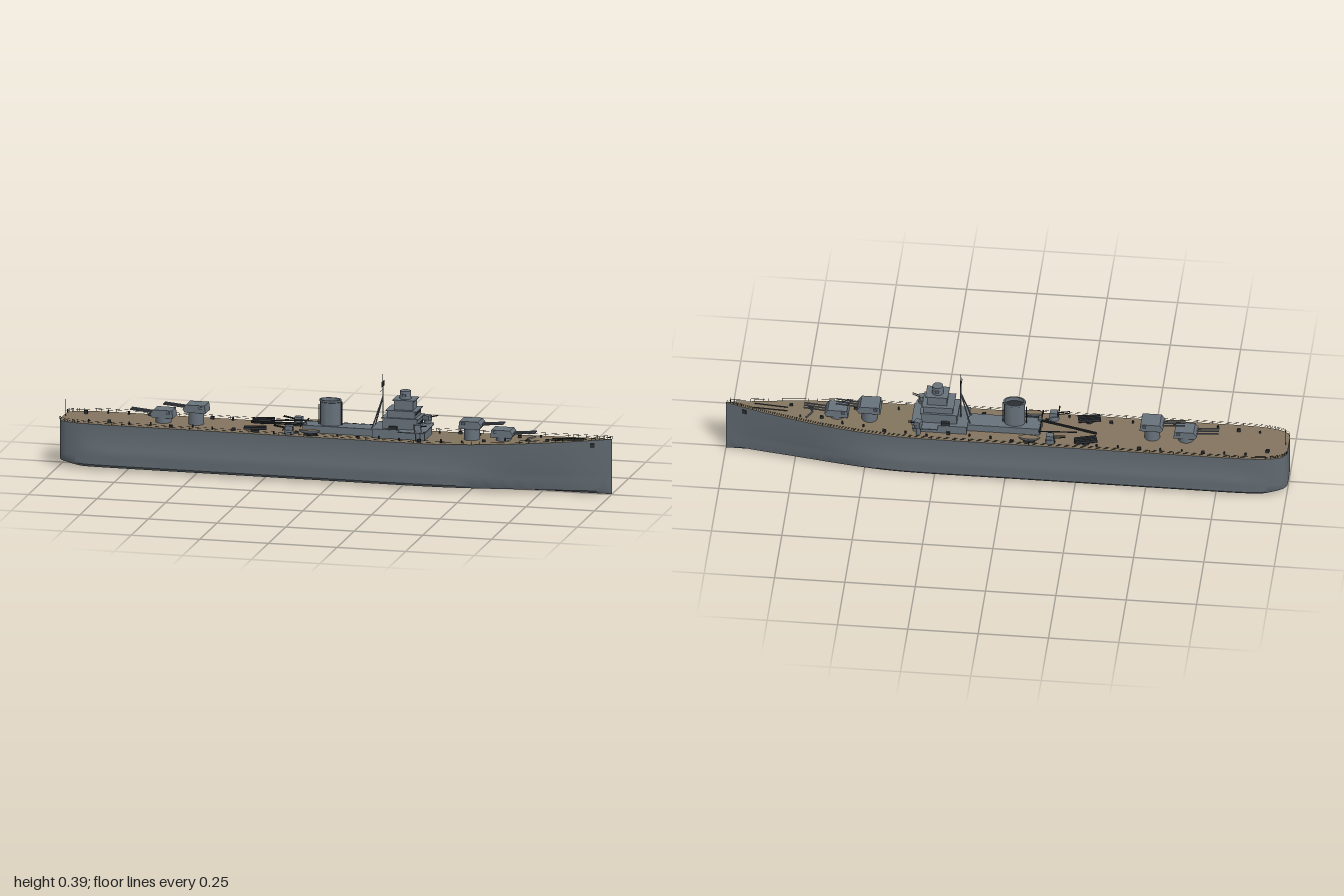
import * as THREE from 'three';
import { mergeGeometries, toCreasedNormals } from 'three/addons/utils/BufferGeometryUtils.js';

export function createModel() {
  const model = new THREE.Group();
  model.name = 'warship';
  const ship = new THREE.Group();
  ship.name = 'ship';
  ship.position.z = -0.0075;
  model.add(ship);

  const material = (name, color, side = THREE.FrontSide) => {
    const m = new THREE.MeshStandardMaterial({ color, side });
    m.name = name;
    return m;
  };
  const hullGrey = material('hull grey', 0x616a71);
  const grey = material('superstructure grey', 0x68727c);
  const wood = material('deck wood', 0x83755f);
  const dark = material('dark fittings', 0x2b2f33);

  const add = (name, geo, mat, x = 0, y = 0, z = 0, parent = ship) => {
    const mesh = new THREE.Mesh(geo, mat);
    mesh.name = name;
    mesh.position.set(x, y, z);
    parent.add(mesh);
    return mesh;
  };
  const box = (name, mat, x0, x1, y0, y1, hw, z = 0, parent = ship) =>
    add(name, new THREE.BoxGeometry(x1 - x0, y1 - y0, hw * 2), mat, (x0 + x1) / 2, (y0 + y1) / 2, z, parent);
  const cyl = (name, mat, r0, r1, y0, y1, x, z, parent = ship, sides = 20) =>
    add(name, new THREE.CylinderGeometry(r1, r0, y1 - y0, sides), mat, x, (y0 + y1) / 2, z, parent);
  // Thin rod geometry between two points
  const rodGeo = (a, b, r, sides = 6) =>
    new THREE.TubeGeometry(new THREE.LineCurve3(new THREE.Vector3(...a), new THREE.Vector3(...b)), 1, r, sides);
  const rods = (name, mat, list, r, parent = ship) =>
    add(name, mergeGeometries(list.map(([a, b]) => rodGeo(a, b, r))), mat, 0, 0, 0, parent);

  // Plan outline (x, half beam) and deck sheer
  const outline = new THREE.SplineCurve([
    [-1, 0.05], [-0.985, 0.073], [-0.945, 0.088], [-0.86, 0.097], [-0.6, 0.098], [0, 0.098], [0.3, 0.098],
    [0.48, 0.091], [0.65, 0.073], [0.83, 0.041], [0.93, 0.018], [1, 0.001],
  ].map((p) => new THREE.Vector2(...p)));
  const stations = outline.getPoints(66);
  const sheer = (x) => 0.167 + 0.033 * Math.pow(Math.max(0, (x - 0.35) / 0.65), 1.4);

  // Hull: cross-sections with side bulge and shallow V bottom
  const N = 13;
  const pos = [], idx = [], deckPos = [], deckIdx = [];
  stations.forEach(({ x, y: h }, i) => {
    const top = sheer(x);
    const mid = THREE.MathUtils.smoothstep(x, -0.98, -0.8) * (1 - THREE.MathUtils.smoothstep(x, 0.3, 0.75));
    const fine = 1 - 0.22 * THREE.MathUtils.smoothstep(x, 0.35, 0.85);
    const lift = 0.012 * (1 - THREE.MathUtils.smoothstep(x, -1, -0.9));
    const low = h * (fine + 0.02 * mid), waist = h * (fine * 0.5 + 0.5 - 0.035 * mid);
    const half = [
      [0, lift], [low * 0.93, 0.011 + lift], [low, 0.02 + lift], [low, 0.05],
      [h * (fine * 0.7 + 0.3 + 0.02 * mid), 0.075], [waist, 0.088], [h, top],
    ];
    const ring = [...half.slice(1).reverse().map(([z, y]) => [-z, y]), ...half];
    ring.forEach(([z, y]) => pos.push(x, y, z));
    deckPos.push(x, top, h, x, top, -h);
    if (i === 0) return;
    for (let j = 0; j < N - 1; j++) {
      const a = (i - 1) * N + j, b = i * N + j;
      idx.push(a, b, a + 1, b, b + 1, a + 1);
    }
    const d = (i - 1) * 2;
    deckIdx.push(d, d + 2, d + 1, d + 2, d + 3, d + 1);
  });
  // Stern closing face
  const centre = pos.length / 3;
  pos.push(-1, 0.1, 0);
  for (let j = 0; j < N; j++) idx.push(centre, j, (j + 1) % N);
  const surface = (p, ix) => {
    const g = new THREE.BufferGeometry();
    g.setAttribute('position', new THREE.Float32BufferAttribute(p, 3));
    g.setIndex(ix);
    g.computeVertexNormals();
    return g;
  };
  add('hull', toCreasedNormals(surface(pos, idx), 0.6), hullGrey);
  add('deck', surface(deckPos, deckIdx), wood);

  // Deck railing along both edges
  const rail = [];
  for (const s of [-1, 1]) {
    const at = ({ x, y }, up) => [x, sheer(x) + up, s * y * 0.985];
    stations.forEach((p, i) => {
      rail.push([at(p, 0), at(p, 0.011)]);
      if (i) for (const up of [0.006, 0.011]) rail.push([at(stations[i - 1], up), at(p, up)]);
    });
  }
  add('railing', mergeGeometries(rail.map(([a, b]) => rodGeo(a, b, 0.0005, 3))), dark);
  rods('flagstaffs', dark, [[[-0.99, 0.167, 0], [-0.99, 0.228, 0]], [[0.985, 0.195, 0], [0.985, 0.222, 0]]], 0.0008);

  // Main gun turrets: barbette, sloped gunhouse, triple barrels
  const house = new THREE.Shape([[-0.042, 0], [0.034, 0], [0.042, 0.012], [0.03, 0.028], [-0.038, 0.028]]
    .map((p) => new THREE.Vector2(...p)));
  const turret = (x, lift, aft, w) => {
    const t = new THREE.Group();
    t.name = 'mainTurret';
    t.position.set(x, 0.167, 0);
    if (aft) t.rotation.y = Math.PI;
    ship.add(t);
    cyl('barbette', grey, 0.028, 0.028, -0.005, lift, 0, 0, t, 24);
    add('gunhouse', new THREE.ExtrudeGeometry(house, { depth: w, bevelEnabled: false }), grey, 0, lift, -w / 2, t);
    box('rangefinder', grey, -0.03, -0.018, lift + 0.016, lift + 0.024, w / 2 + 0.005, 0, t);
    const guns = [-1, 0, 1].map((k) => [[0.03, lift + 0.014, k * 0.014], [0.118, lift + 0.022, k * 0.014]]);
    rods('gunBarrels', grey, guns, 0.0027, t);
  };
  turret(0.605, 0.02, false, 0.06);
  turret(0.49, 0.046, false, 0.068);
  turret(-0.635, 0.02, true, 0.06);
  turret(-0.515, 0.046, true, 0.068);

  // Bridge tower, stacked tiers with overhanging platforms
  const tiers = [
    [0.14, 0.33, 0.165, 0.2, 0.056], [0.175, 0.3, 0.2, 0.24, 0.045], [0.19, 0.293, 0.24, 0.267, 0.041],
    [0.212, 0.282, 0.267, 0.303, 0.03],
  ];
  for (const [x0, x1, y0, y1, hw] of tiers) {
    box('bridgeTier', grey, x0, x1, y0, y1, hw);
    box('bridgePlatform', grey, x0 - 0.004, x1 + 0.006, y1 - 0.002, y1 + 0.001, hw + 0.004);
  }
  cyl('director', grey, 0.021, 0.019, 0.303, 0.333, 0.247, 0);
  box('directorRangefinder', grey, 0.24, 0.254, 0.316, 0.323, 0.025);
  box('bridgeWindows', dark, 0.293, 0.2945, 0.252, 0.258, 0.035);
  for (const s of [-1, 1]) {
    for (let i = 0; i < 3; i++) box('bridgeDoor', dark, 0.3, 0.3012, 0.212, 0.222, 0.003, s * (0.012 + i * 0.012));
    // Bridge wings with light guns and directors
    box('bridgeWing', grey, 0.24, 0.33, 0.198, 0.201, 0.018, s * 0.066);
    cyl('gunTub', grey, 0.013, 0.014, 0.201, 0.213, 0.31, s * 0.072);
    const gun = box('sideGunMount', grey, 0.297, 0.321, 0.21, 0.229, 0.011, s * 0.075);
    gun.rotation.y = s * 0.4;
    rods('sideGunBarrels', dark, [-1, 1].map((k) =>
      [[0.315, 0.222, s * 0.075 + k * 0.004], [0.345, 0.228, s * 0.083 + k * 0.004]]), 0.0015);
    cyl('wingSupport', grey, 0.008, 0.008, 0.165, 0.2, 0.31, s * 0.07);
    box('signalLocker', dark, 0.2, 0.23, 0.201, 0.212, 0.006, s * 0.052);
  }

  // Tripod mast with yards and lattice aerial
  rods('mast', grey, [
    [[0.165, 0.2, 0], [0.165, 0.362, 0]], [[0.13, 0.19, 0.025], [0.165, 0.305, 0]], [[0.13, 0.19, -0.025], [0.165, 0.305, 0]],
  ], 0.0025);
  const aerial = [[[0.165, 0.36, 0], [0.165, 0.388, 0]], [[0.165, 0.332, 0], [0.165, 0.332, 0.046]]];
  for (const y of [0.343, 0.352, 0.361]) aerial.push([[0.165, y, -0.019], [0.165, y, 0.019]]);
  for (let i = -2; i <= 2; i++) aerial.push([[0.165, 0.343, i * 0.0095], [0.165, 0.361, i * 0.0095]]);
  rods('aerial', dark, aerial, 0.0008);

  // Midship deckhouse and oval funnel
  box('midshipDeckhouse', grey, -0.12, 0.15, 0.165, 0.193, 0.034);
  const lathe = (pts) => new THREE.LatheGeometry(pts.map((p) => new THREE.Vector2(...p)), 32);
  const funnel = add('funnel', toCreasedNormals(lathe([
    [0.037, 0.19], [0.037, 0.276], [0.04, 0.278], [0.04, 0.285], [0.034, 0.285], [0.034, 0.268],
  ]), 0.6), grey, -0.026);
  funnel.scale.z = 0.7;
  const soot = cyl('funnelOpening', dark, 0.035, 0.035, 0.264, 0.27, -0.026, 0);
  soot.scale.z = 0.7;
  rods('funnelPipes', dark, [[[0.015, 0.19, 0], [0.015, 0.28, 0]], [[-0.068, 0.19, 0], [-0.068, 0.265, 0]]], 0.0025);

  for (const s of [-1, 1]) {
    // Torpedo tube banks turned outward
    const bank = new THREE.Group();
    bank.name = 'torpedoBank';
    bank.position.set(-0.285, 0.167, s * 0.063);
    bank.rotation.y = -s * 0.28 + (s > 0 ? 0.5 : 0);
    ship.add(bank);
    cyl('bankPivot', dark, 0.014, 0.014, 0, 0.009, 0, 0, bank);
    rods('torpedoTubes', dark, [-1.5, -0.5, 0.5, 1.5].map((k) =>
      [[-0.04, 0.014, k * 0.0095], [0.04, 0.014, k * 0.0095]]), 0.0046, bank);
    // Secondary gun mounts
    cyl('secondaryMount', grey, 0.018, 0.016, 0.165, 0.183, -0.16, s * 0.068);
    box('secondaryShield', grey, -0.172, -0.145, 0.18, 0.198, 0.012, s * 0.068);
    rods('secondaryBarrels', dark, [-1, 1].map((k) =>
      [[-0.165, 0.188, s * 0.068 + k * 0.005], [-0.215, 0.196, s * 0.072 + k * 0.005]]), 0.0018);
    // Boats on chocks
    const boat = new THREE.Group();
    boat.name = 'boat';
    boat.position.set(-0.085, 0.172, s * 0.073);
    ship.add(boat);
    const shell = add('boatHull', new THREE.SphereGeometry(1, 20, 8, 0, Math.PI * 2, Math.PI / 2, Math.PI / 2), grey, 0, 0.014, 0, boat);
    shell.scale.set(0.04, 0.014, 0.014);
    const cover = cyl('boatCover', wood, 1, 1, 0.013, 0.0145, 0, 0, boat, 20);
    cover.scale.set(0.038, 1, 0.0125);
    box('boatChocks', dark, -0.02, 0.02, -0.006, 0.004, 0.008, 0, boat);
  }

  // Cranes and catapult boom
  cyl('craneBase', grey, 0.009, 0.007, 0.165, 0.2, -0.115, 0.02);
  rods('craneBooms', dark, [
    [[-0.115, 0.196, 0.02], [-0.32, 0.183, -0.02]], [[-0.115, 0.19, 0.02], [-0.32, 0.178, -0.02]],
    [[-0.115, 0.192, -0.045], [-0.25, 0.187, -0.03]], [[-0.175, 0.188, 0.05], [-0.175, 0.188, 0.1145]],
    [[-0.12, 0.195, -0.06], [-0.12, 0.195, 0.075]],
  ], 0.0025);

  // Small deck fittings: bollards, vents and hatches
  let seed = 7;
  const rnd = () => (seed = (seed * 16807) % 2147483647) / 2147483647;
  const fittings = [];
  for (let i = 0; i < 46; i++) {
    const x = -0.93 + 1.7 * (i / 45), s = i % 2 ? 1 : -1;
    const edge = x > 0.35 ? 0.085 - (x - 0.35) * 0.13 : 0.085;
    const z = s * edge * (0.6 + 0.38 * rnd()), h = 0.006 + 0.007 * rnd();
    const g = i % 3 ? new THREE.CylinderGeometry(0.003, 0.0035, h, 8) : new THREE.BoxGeometry(0.012, h, 0.008);
    fittings.push(g.translate(x, sheer(x) + h / 2, z));
  }
  add('deckFittings', mergeGeometries(fittings), dark);
  for (const s of [-1, 1]) {
    box('breakwater', grey, 0.7, 0.704, 0.175, 0.186, 0.02, s * 0.02).rotation.y = s * 0.5;
    rods('anchorChain', dark, [[[0.78, 0.187, s * 0.01], [0.9, 0.194, s * 0.012]]], 0.0018);
    box('anchor', dark, 0.925, 0.94, 0.168, 0.184, 0.003, s * 0.0175).rotation.y = s * 0.25;
  }
  return model;
}
